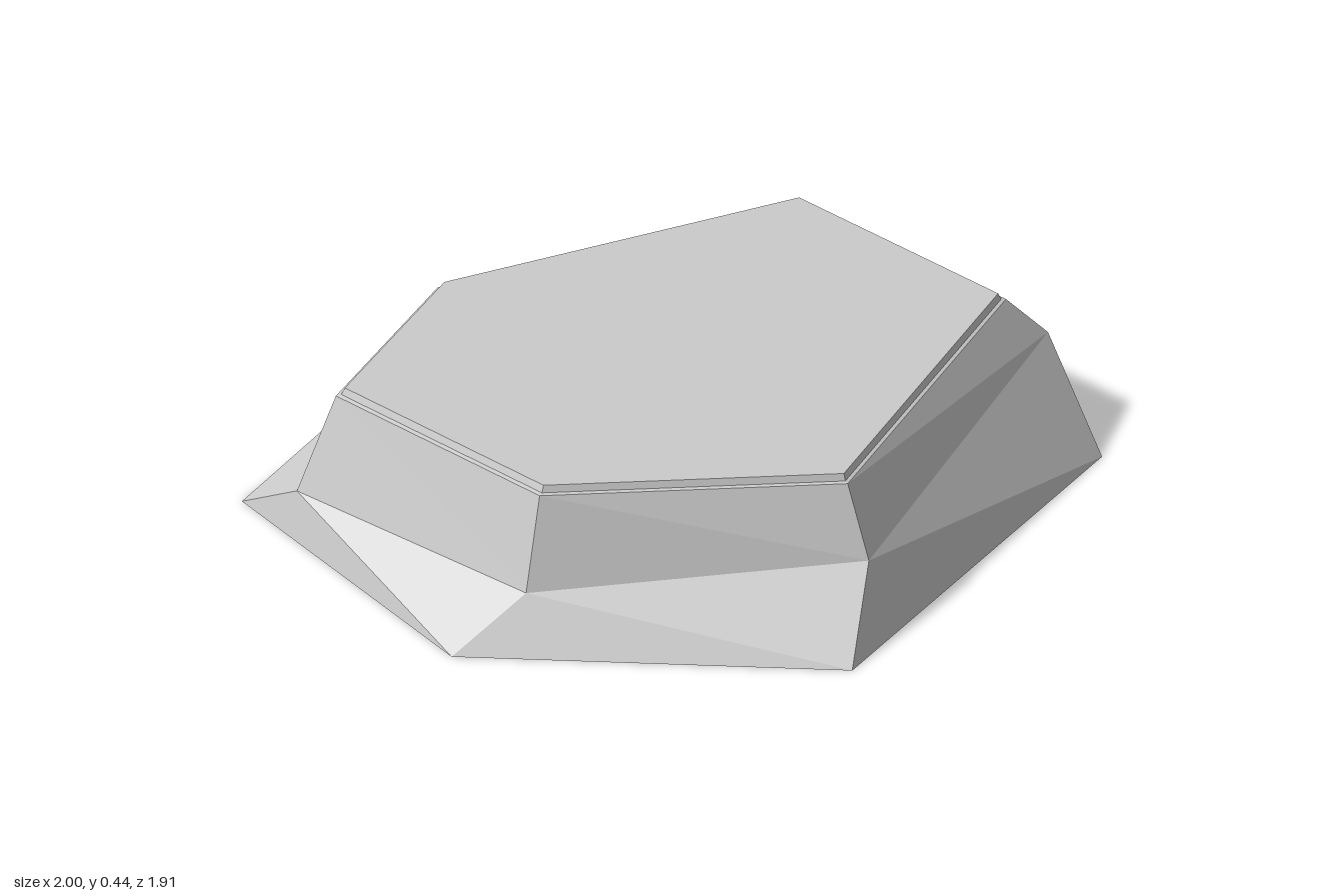
import * as THREE from 'three';

// Irregular hexagonal outlines as [x, y, z], clockwise seen from above
const base = [[-1, 0, -0.69], [-0.17, 0, -0.96], [1, 0, -0.48], [1, 0, 0.48], [-0.17, 0, 0.955], [-1, 0, 0.27]];
const shoulder = [[-0.97, 0.13, -0.48], [-0.36, 0.18, -0.8], [0.805, 0.28, -0.55], [0.98, 0.29, 0.26], [-0.01, 0.215, 0.81], [-0.79, 0.15, 0.32]];
const rim = [[-0.87, 0.415, -0.44], [-0.33, 0.415, -0.72], [0.715, 0.415, -0.5], [0.87, 0.415, 0.22], [-0.015, 0.415, 0.72], [-0.72, 0.415, 0.285]];

// Shrinks an outline slightly and sets it at one height
const inset = (ring, scale, y) => ring.map(([x, , z]) => [x * scale, y, z * scale]);

// Flat-shaded geometry from a list of triangles
function facets(triangles) {
  const geometry = new THREE.BufferGeometry();
  geometry.setAttribute('position', new THREE.Float32BufferAttribute(triangles.flat(2), 3));
  geometry.computeVertexNormals();
  return geometry;
}

// Band of facets joining a lower outline to an upper one
function band(lower, upper) {
  return facets(lower.flatMap((a, i) => {
    const j = (i + 1) % lower.length;
    return [[a, upper[i], upper[j]], [a, upper[j], lower[j]]];
  }));
}

// Flat cap across an outline, facing up or down
function cap(ring, up) {
  const triangles = [];
  for (let i = 1; i < ring.length - 1; i++) {
    triangles.push(up ? [ring[0], ring[i + 1], ring[i]] : [ring[0], ring[i], ring[i + 1]]);
  }
  return facets(triangles);
}

export function createModel() {
  const group = new THREE.Group();
  group.name = 'facetedSlab';
  const material = new THREE.MeshStandardMaterial({ color: 0xcccccc, flatShading: true });
  const add = (name, geometry) => {
    const mesh = new THREE.Mesh(geometry, material);
    mesh.name = name;
    group.add(mesh);
  };

  const lipFoot = inset(rim, 0.985, 0.418);
  const lipTop = inset(rim, 0.975, 0.438);

  // Stone body
  add('underside', cap(base, false));
  add('lowerSlopes', band(base, shoulder));
  add('upperSlopes', band(shoulder, rim));

  // Narrow ledge and raised plate on top
  add('ledge', band(rim, lipFoot));
  add('plateEdge', band(lipFoot, lipTop));
  add('plateTop', cap(lipTop, true));

  return group;
}
